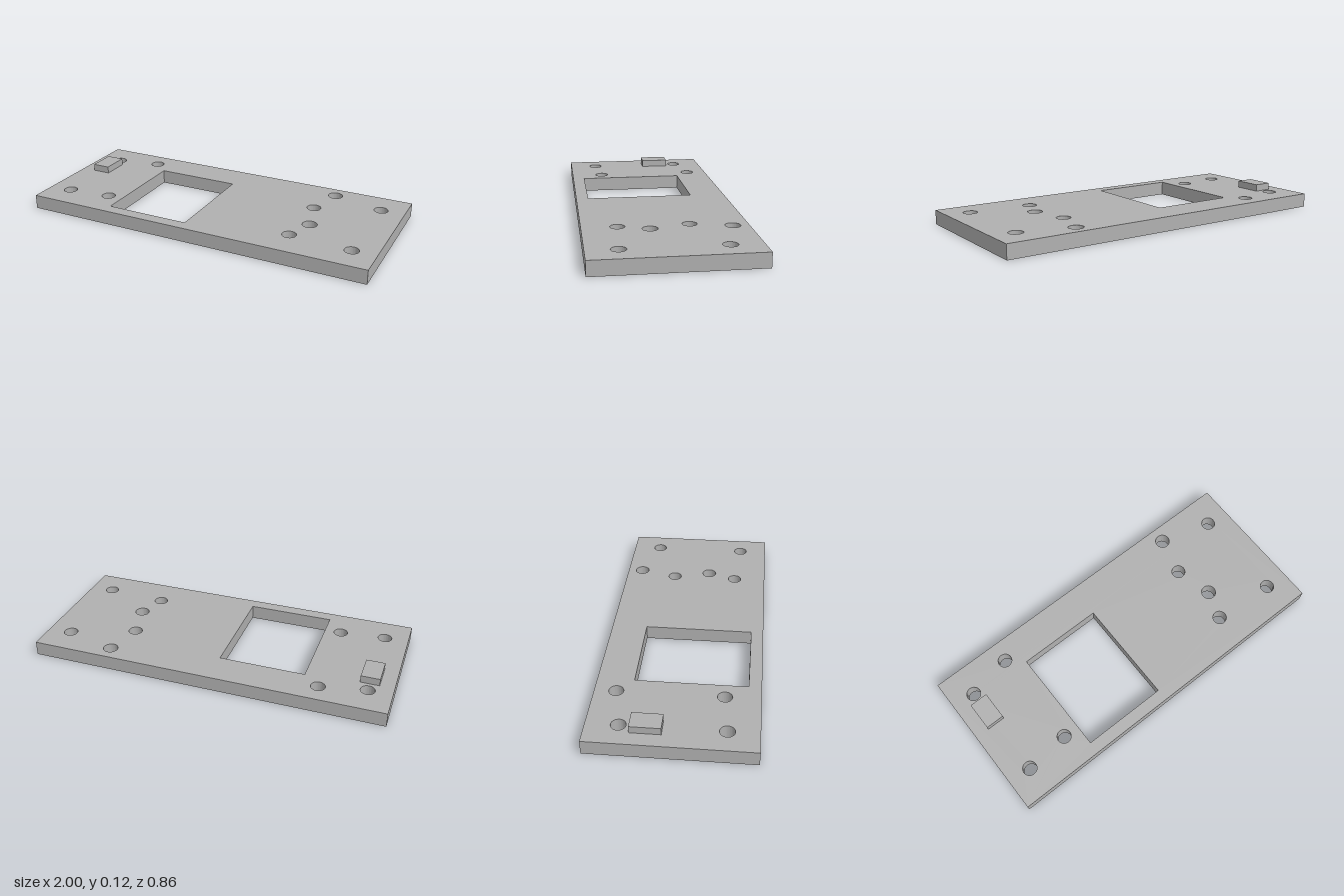
import * as THREE from 'three';
import { toCreasedNormals } from 'three/addons/utils/BufferGeometryUtils.js';

const THICKNESS = 0.08;

// Bolt holes: x, z, radius
const HOLES = [
  [-0.868, -0.265, 0.039], [-0.868, 0.27, 0.039],
  [0.866, -0.265, 0.039], [0.866, 0.27, 0.039],
  [-0.616, -0.317, 0.039], [-0.616, 0.245, 0.039],
  [0.517, -0.13, 0.039], [0.517, 0.245, 0.039],
  [0.571, -0.345, 0.041], [0.571, 0.083, 0.041],
];

// Adds a rectangle to a shape or path
function rectangle(path, x0, z0, x1, z1) {
  path.moveTo(x0, z0);
  path.lineTo(x1, z0);
  path.lineTo(x1, z1);
  path.lineTo(x0, z1);
  path.closePath();
  return path;
}

export function createModel() {
  const model = new THREE.Group();
  model.name = 'mountingPlate';
  const grey = new THREE.MeshStandardMaterial({ color: 0xb0b0b0 });
  grey.name = 'light grey';

  // Flat plate with a rectangular window and round holes
  const outline = rectangle(new THREE.Shape(), -1, -0.432, 1, 0.432);
  outline.holes.push(rectangle(new THREE.Path(), -0.524, -0.235, -0.043, 0.364));
  for (const [x, z, radius] of HOLES) {
    outline.holes.push(new THREE.Path().absarc(x, z, radius, 0, Math.PI * 2, true));
  }
  const plateGeometry = new THREE.ExtrudeGeometry(outline, {
    depth: THICKNESS, bevelEnabled: false, curveSegments: 32,
  });
  plateGeometry.rotateX(Math.PI / 2).translate(0, THICKNESS, 0);
  const plate = new THREE.Mesh(toCreasedNormals(plateGeometry, 0.6), grey);
  plate.name = 'plate';
  model.add(plate);

  // Small raised block near the right end
  const block = new THREE.Mesh(new THREE.BoxGeometry(0.104, 0.04, 0.16), grey);
  block.position.set(-0.868, THICKNESS + 0.02, -0.127);
  block.name = 'raisedBlock';
  model.add(block);

  return model;
}
